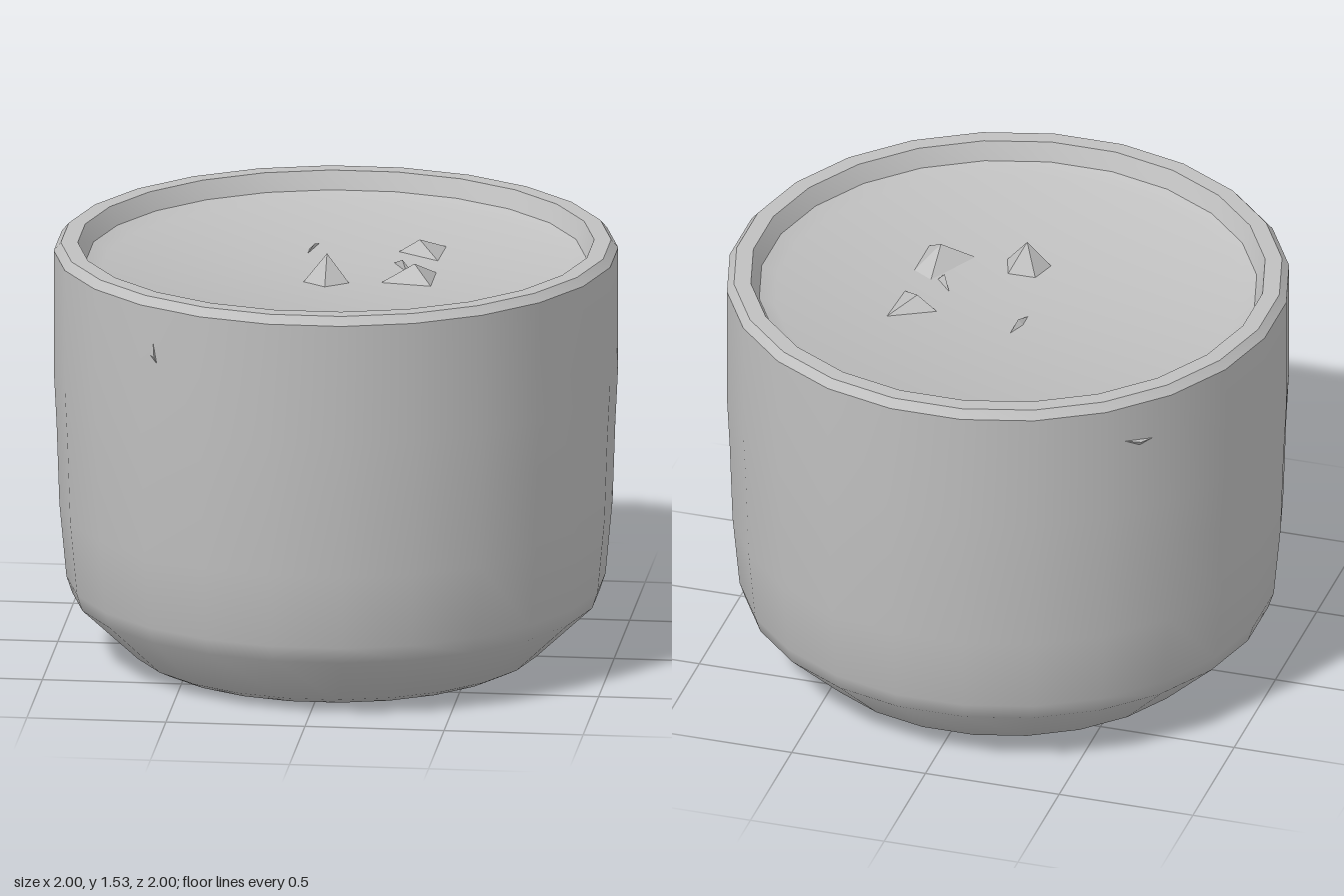
import * as THREE from 'three';
import { toCreasedNormals } from 'three/addons/utils/BufferGeometryUtils.js';
import { ConvexGeometry } from 'three/addons/geometries/ConvexGeometry.js';

const FLOOR = 1.43; // sunken top surface
const BASE = 0.1;   // recessed underside
const SIDES = 24;

export function createModel() {
  const model = new THREE.Group();
  const grey = new THREE.MeshStandardMaterial({ color: 0xc0c0c0 });
  grey.name = 'plain grey';

  const add = (name, geometry) => {
    const mesh = new THREE.Mesh(geometry, grey);
    mesh.name = name;
    model.add(mesh);
  };
  const shard = (name, points) =>
    add(name, new ConvexGeometry(points.map((p) => new THREE.Vector3(...p))));

  // Cup: underside recess, foot, chamfer, wall, rim and sunken top in one profile
  const profile = [
    [0, BASE], [0.45, BASE], [0.54, 0.005], [0.68, 0], [0.73, 0.025],
    [0.935, 0.22], [0.955, 0.28], [0.98, 0.55], [0.99, 0.85], [1, 1.05],
    [1, 1.49], [0.975, 1.52], [0.915, 1.52], [0.885, 1.455], [0.83, FLOOR], [0, FLOOR],
  ].map(([r, y]) => new THREE.Vector2(r / Math.cos(Math.PI / SIDES), y));
  const cup = new THREE.LatheGeometry(profile, SIDES, Math.PI / SIDES);
  add('cup', toCreasedNormals(cup, 0.6));

  // Five-sided stud on the sunken top and another under the base
  const stud = (name, x, y, z, r, tip) => {
    const points = [[x, tip, z]];
    for (let i = 0; i < 5; i++) {
      const a = (i / 5) * Math.PI * 2 + 0.3;
      points.push([x + r * Math.cos(a), y, z + r * Math.sin(a)]);
    }
    shard(name, points);
  };
  stud('topStud', -0.01, FLOOR - 0.005, 0.2, 0.09, 1.53);
  stud('baseStud', 0, BASE + 0.005, 0.02, 0.13, 0.03);

  // Ridges and slivers on the sunken top: ground points, then the peak
  const ridge = (name, ground, peak) =>
    shard(name, [...ground.map(([x, z]) => [x, FLOOR - 0.003, z]), peak]);
  ridge('rearRidge', [[0.2, -0.2], [0.37, -0.29], [0.36, -0.09]], [0.28, 1.48, -0.19]);
  ridge('frontRidge', [[0.18, 0.21], [0.29, 0.0], [0.37, 0.05], [0.37, 0.24]], [0.3, 1.49, 0.16]);
  ridge('middleSliver', [[0.2, -0.06], [0.26, 0.06], [0.27, 0.02]], [0.24, 1.46, 0.01]);
  ridge('sideSliver', [[-0.09, -0.28], [-0.12, -0.13], [-0.12, -0.2]], [-0.1, 1.45, -0.2]);

  // Small chips on the outer wall
  shard('frontChip', [
    [-0.57, 1.4, 0.81], [-0.54, 1.25, 0.82], [-0.6, 1.31, 0.78], [-0.56, 1.31, 0.85],
  ]);
  shard('backChip', [
    [-0.77, 1.33, -0.62], [-0.62, 1.36, -0.77], [-0.7, 1.3, -0.69], [-0.72, 1.34, -0.72],
  ]);

  return model;
}
